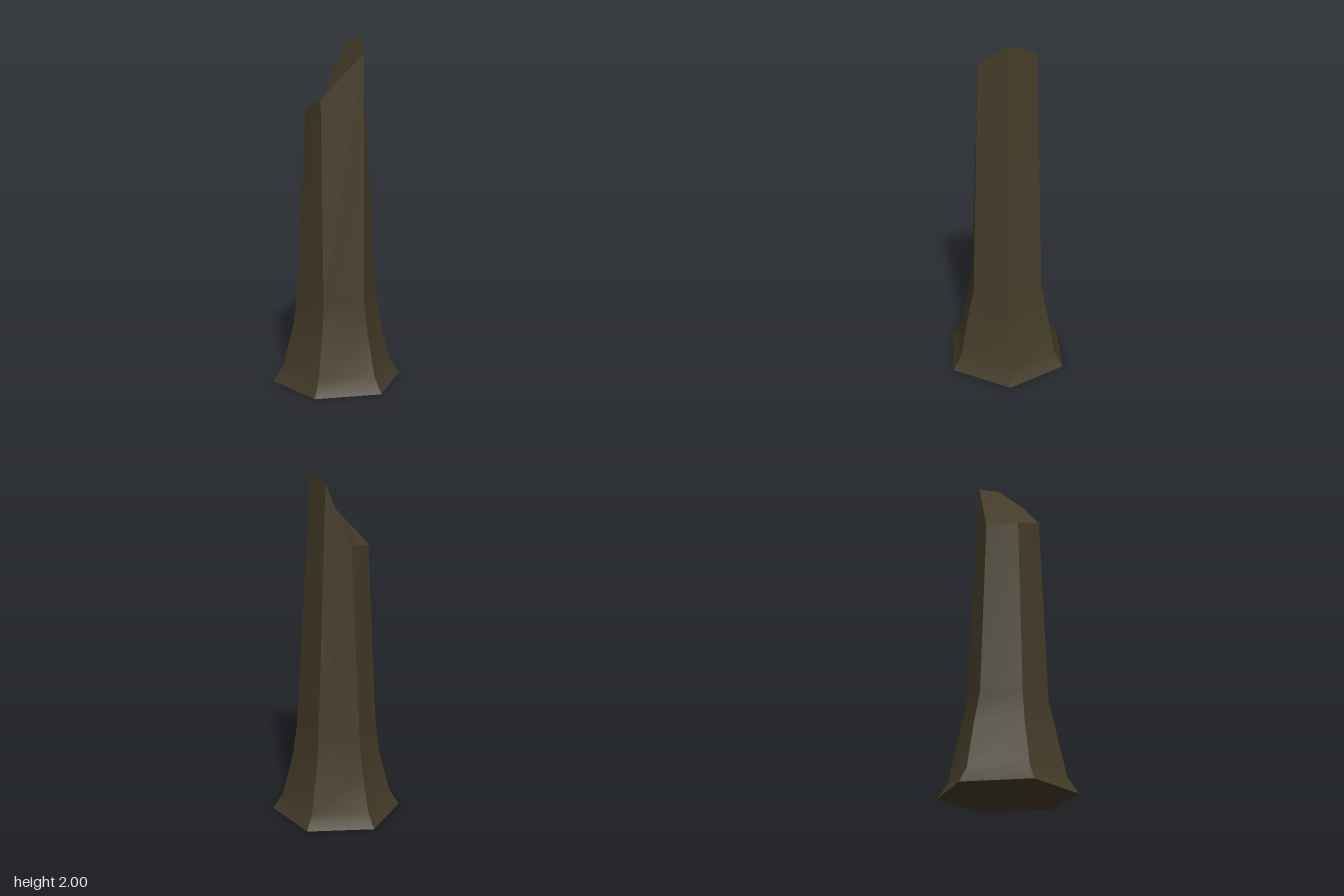
import * as THREE from 'three';

// Corners run counter-clockwise seen from above, starting at +x.
const hexRing = (y, rx, rz) => [
  [rx, y, 0], [rx / 2, y, -rz], [-rx / 2, y, -rz],
  [-rx, y, 0], [-rx / 2, y, rz], [rx / 2, y, rz],
];

function surface(name, points, index, material) {
  const geometry = new THREE.BufferGeometry();
  geometry.setAttribute('position', new THREE.Float32BufferAttribute(points.flat(), 3));
  geometry.setIndex(index);
  geometry.computeVertexNormals();
  const mesh = new THREE.Mesh(geometry, material);
  mesh.name = name;
  return mesh;
}

export function createModel() {
  const group = new THREE.Group();
  group.name = 'brokenPost';
  const darkWood = new THREE.MeshStandardMaterial({ color: 0x443b28 });
  darkWood.name = 'dark wood';

  // Flared foot, tapering shaft and a slanted, twisted break
  const rings = [
    hexRing(0, 0.382, 0.332),
    hexRing(0.09, 0.322, 0.281),
    hexRing(0.34, 0.258, 0.237),
    hexRing(0.53, 0.233, 0.2),
    [
      [0.14, 2.0, 0], [0.07, 1.94, -0.158], [-0.07, 1.6, -0.158],
      [-0.18, 1.59, 0], [-0.122, 1.65, 0.158], [0.12, 1.9, 0.158],
    ],
  ];

  // Six sides, smooth along their height and sharp at the corners
  for (let side = 0; side < 6; side++) {
    const next = (side + 1) % 6;
    const points = rings.flatMap((ring) => [ring[side], ring[next]]);
    const index = [];
    for (let k = 0; k < rings.length - 1; k++) {
      const a = 2 * k;
      index.push(a, a + 1, a + 3, a, a + 3, a + 2);
    }
    group.add(surface('side' + (side + 1), points, index, darkWood));
  }

  // Broken top and flat underside
  const top = [2, 3, 4, 2, 4, 5, 2, 5, 1, 1, 5, 0];
  const under = [0, 2, 1, 0, 3, 2, 0, 4, 3, 0, 5, 4];
  group.add(surface('brokenTop', rings[4], top, darkWood));
  group.add(surface('underside', rings[0], under, darkWood));
  return group;
}
